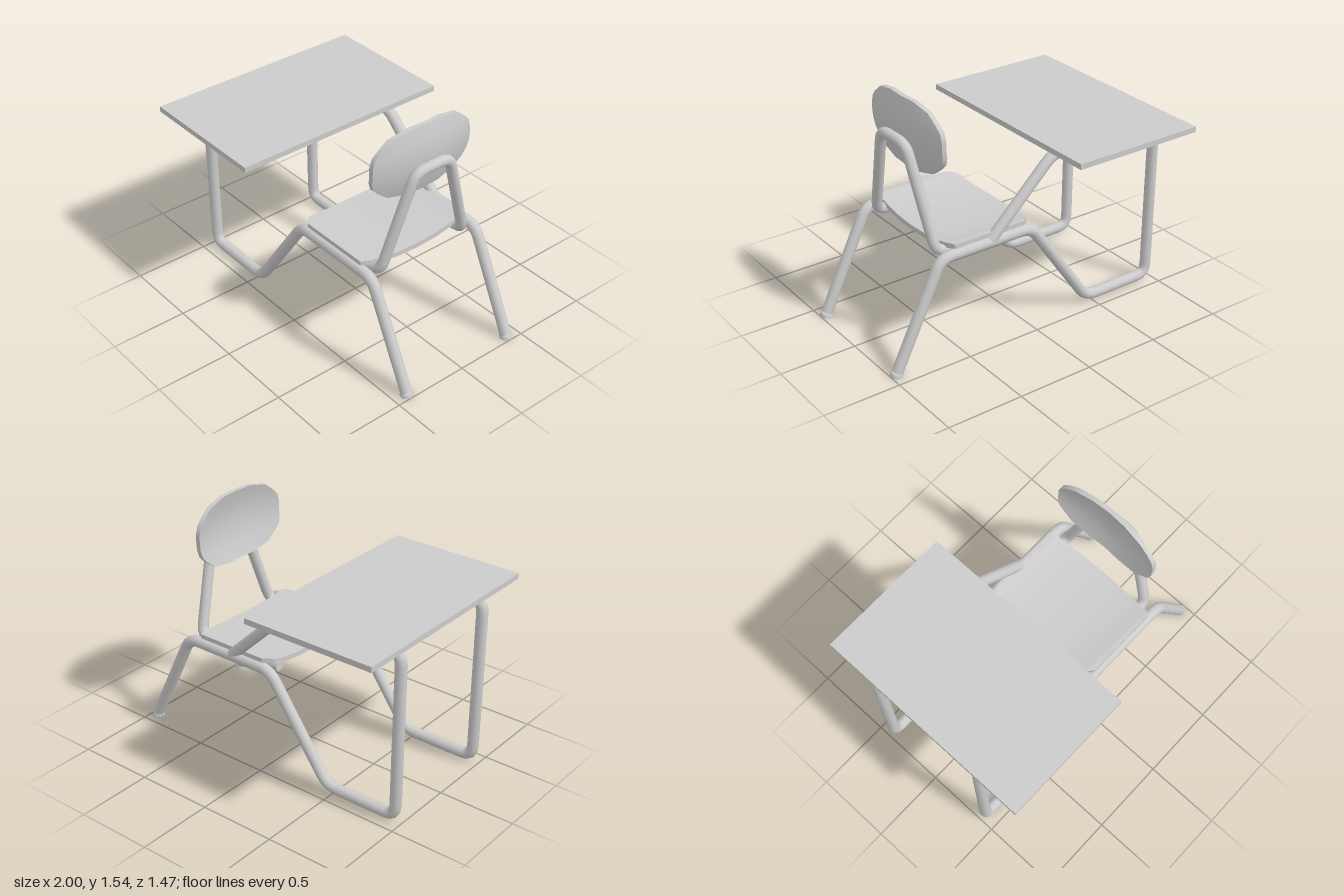
import * as THREE from 'three';
import { toCreasedNormals } from 'three/addons/utils/BufferGeometryUtils.js';

const material = new THREE.MeshStandardMaterial({ color: 0xcccccc });
const openMaterial = new THREE.MeshStandardMaterial({ color: 0xcccccc, side: THREE.DoubleSide });
const v = (x, y, z) => new THREE.Vector3(x, y, z);

function mesh(name, geometry, mat = material) {
  const m = new THREE.Mesh(geometry, mat);
  m.name = name;
  return m;
}

// Curve that visits every listed point, so straight runs stay straight
class Polyline extends THREE.Curve {
  constructor(points) {
    super();
    this.points = points;
  }
  getPoint(t) {
    const n = this.points.length - 1;
    const i = Math.min(Math.floor(t * n + 1e-6), n - 1);
    return this.points[i].clone().lerp(this.points[i + 1], t * n - i);
  }
  getPointAt(t) {
    return this.getPoint(t);
  }
  getTangentAt(t) {
    const p = this.points, n = p.length - 1, i = Math.round(t * n);
    const dir = (a, b) => p[b].clone().sub(p[a]).normalize();
    if (i === 0) return dir(0, 1);
    if (i === n) return dir(n - 1, n);
    return dir(i - 1, i).add(dir(i, i + 1)).normalize();
  }
}

// Bent pipe: corners are rounded over the given distance, ends are capped
function pipe(name, corners, radius, bend) {
  const path = [corners[0]];
  for (let i = 1; i < corners.length - 1; i++) {
    const c = corners[i];
    const toward = (q) => q.clone().sub(c).setLength(bend).add(c);
    const arc = new THREE.QuadraticBezierCurve3(toward(corners[i - 1]), c, toward(corners[i + 1]));
    path.push(...arc.getPoints(4));
  }
  path.push(corners[corners.length - 1]);
  const group = new THREE.Group();
  group.name = name;
  const curve = new Polyline(path);
  group.add(mesh(name + 'Tube', new THREE.TubeGeometry(curve, path.length - 1, radius, 12)));
  for (const t of [0, 1]) {
    const cap = mesh(name + 'EndCap', new THREE.CircleGeometry(radius, 12));
    const end = curve.getPoint(t);
    cap.position.copy(end);
    cap.lookAt(end.clone().addScaledVector(curve.getTangentAt(t), t ? 1 : -1));
    group.add(cap);
  }
  return group;
}

// Closed skin over equal-length loops stacked along +z (clockwise seen from +z)
function loft(sections) {
  const k = sections[0].length, index = [];
  for (let i = 0; i < sections.length - 1; i++) {
    for (let j = 0; j < k; j++) {
      const a = i * k + j, b = i * k + (j + 1) % k;
      index.push(a, a + k, b + k, a, b + k, b);
    }
  }
  const last = (sections.length - 1) * k;
  for (let j = 1; j < k - 1; j++) {
    index.push(0, j, j + 1, last, last + j + 1, last + j);
  }
  const geometry = new THREE.BufferGeometry();
  geometry.setAttribute('position', new THREE.Float32BufferAttribute(sections.flat(2), 3));
  geometry.setIndex(index);
  return toCreasedNormals(geometry, 0.5);
}

// Mirrors a list of half stations [z, ...] from the middle out to both sides
const bothSides = (half) => [
  ...half.slice(1).reverse().map(([z, ...rest]) => [-z, ...rest]),
  ...half,
];

function seat() {
  // z, front x, back x, top y
  const stations = bothSides([
    [0, -0.035, 0.58, 0.699],
    [0.15, -0.03, 0.575, 0.702],
    [0.28, -0.022, 0.565, 0.712],
    [0.36, -0.01, 0.558, 0.727],
    [0.385, 0.015, 0.553, 0.733],
    [0.412, 0.05, 0.54, 0.733],
  ]);
  const thick = 0.032;
  return mesh('seat', loft(stations.map(([z, f, b, y]) => [
    [f, y, z], [b, y, z], [b, y - thick, z], [f, y - thick, z],
  ])));
}

function backrest() {
  // z, half height
  const stations = bothSides([
    [0, 0.22], [0.12, 0.22], [0.25, 0.19], [0.32, 0.135], [0.353, 0.1], [0.368, 0.05],
  ]);
  const steps = [1, 0.6, 0.2, -0.2, -0.6, -1];
  // Shallow dish, hollow towards the desk
  const dish = (y, z) => 0.655 + 0.05 * y - 0.045 * (y / 0.22) ** 2 - 0.065 * (z / 0.37) ** 2;
  return mesh('backrest', loft(stations.map(([z, h]) => {
    const rear = steps.map((s) => [dish(s * h, z), 1.32 + s * h, z]);
    const front = rear.map(([x, y]) => [x - 0.03, y, z]).reverse();
    return [...rear, ...front];
  })));
}

function foot(z) {
  const profile = [[0, 0.008], [0.03, 0.008], [0.03, 0], [0.041, 0], [0.041, 0.009], [0.032, 0.024], [0, 0.03]];
  const lathe = new THREE.LatheGeometry(profile.map(([x, y]) => new THREE.Vector2(x, y)), 12);
  const m = mesh('foot', toCreasedNormals(lathe, 0.6), openMaterial);
  m.position.set(0.959, 0, z);
  return m;
}

export function createModel() {
  const model = new THREE.Group();
  model.name = 'schoolDeskWithChair';

  // Desktop
  const desk = mesh('desktop', new THREE.BoxGeometry(0.89, 0.036, 1.47));
  desk.position.set(-0.555, 1.168, 0);
  model.add(desk);

  // Side frames; only the right one carries a brace down to the seat rail
  for (const z of [0.408, -0.408]) {
    const corners = [
      [0.955, 0.02], [0.64, 0.67], [-0.01, 0.67], [-0.455, 0.0375],
      [-0.956, 0.0375], [-0.962, 1.115],
    ];
    if (z > 0) corners.push([-0.205, 1.115]);
    else corners.push([-0.165, 1.115], [0.285, 0.68]);
    model.add(pipe(z > 0 ? 'leftFrame' : 'rightFrame', corners.map(([x, y]) => v(x, y, z)), 0.036, 0.075));
    model.add(foot(z));
  }

  // Seat rails rising into the arch behind the backrest
  const half = [[-0.02, 0.668, 0.325], [0.615, 0.668, 0.325], [0.678, 1.295, 0.13]];
  const arch = [
    ...half.map(([x, y, z]) => v(x, y, z)),
    ...half.slice().reverse().map(([x, y, z]) => v(x, y, -z)),
  ];
  model.add(pipe('backFrame', arch, 0.034, 0.07));

  model.add(seat(), backrest());
  return model;
}
